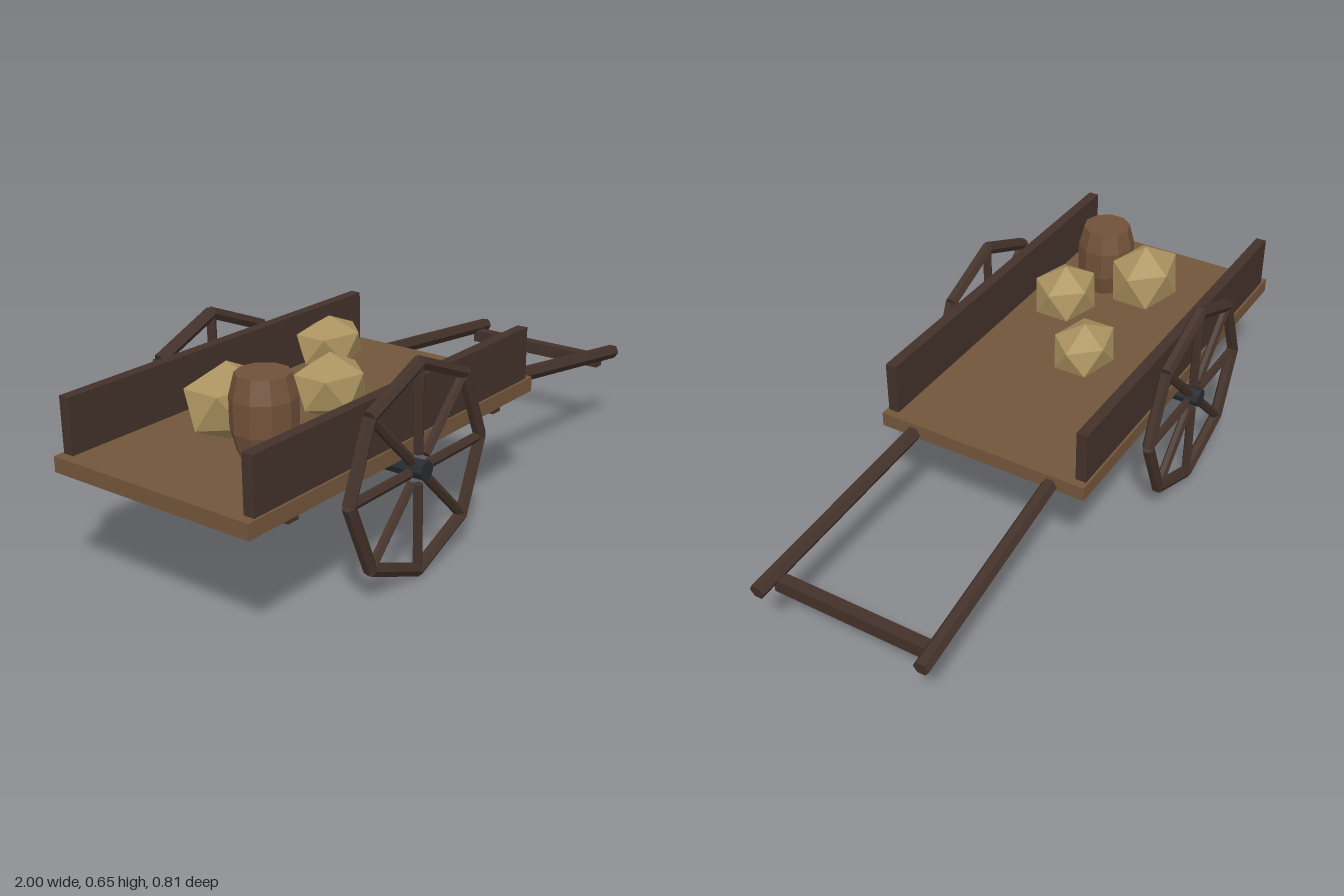
import * as THREE from 'three';

const mat = (color) => new THREE.MeshStandardMaterial({ color, flatShading: true });

export function createModel() {
  const cart = new THREE.Group();
  cart.name = 'handcart';
  const plank = mat(0x73563c), dark = mat(0x43322a), iron = mat(0x282c30);
  const barrelWood = mat(0x72523a), stone = mat(0xab9360);

  const add = (parent, name, geometry, material, x = 0, y = 0, z = 0) => {
    const mesh = new THREE.Mesh(geometry, material);
    mesh.name = name;
    mesh.position.set(x, y, z);
    parent.add(mesh);
    return mesh;
  };
  const box = (name, w, h, d, material, x, y, z) =>
    add(cart, name, new THREE.BoxGeometry(w, h, d), material, x, y, z);

  // Six-sided rod running from a to b
  const rod = (parent, name, a, b, radius, material, sides = 6) => {
    const dir = b.clone().sub(a);
    const mesh = add(parent, name, new THREE.CylinderGeometry(radius, radius, dir.length(), sides), material);
    mesh.position.copy(a).add(b).multiplyScalar(0.5);
    mesh.quaternion.setFromUnitVectors(new THREE.Vector3(0, 1, 0), dir.normalize());
    return mesh;
  };
  const v = (x, y, z) => new THREE.Vector3(x, y, z);

  // Bed, cross battens and side boards
  box('bed', 1.3, 0.046, 0.69, plank, -0.35, 0.377, 0);
  for (const x of [-0.82, 0.125]) box('batten', 0.04, 0.022, 0.66, dark, x, 0.343, 0);
  for (const s of [-1, 1]) box('sideBoard', 1.245, 0.165, 0.034, dark, -0.348, 0.482, s * 0.321);

  // Axle with its collar
  const axleX = -0.35, axleY = 0.325;
  rod(cart, 'axle', v(axleX, axleY, -0.407), v(axleX, axleY, 0.407), 0.029, iron, 8);
  rod(cart, 'axleCollar', v(axleX, axleY, -0.09), v(axleX, axleY, 0), 0.045, iron, 8);

  // Wheels: eight straight rim pieces and eight spokes each
  for (const s of [-1, 1]) {
    const wheel = new THREE.Group();
    wheel.name = s > 0 ? 'frontWheel' : 'backWheel';
    wheel.position.set(axleX, axleY, s * 0.378);
    const polar = (r, i) => v(r * Math.sin(i * Math.PI / 4), r * Math.cos(i * Math.PI / 4), 0);
    for (let i = 0; i < 8; i++) {
      rod(wheel, 'rimPiece', polar(0.308, i), polar(0.308, i + 1), 0.02, dark);
      rod(wheel, 'spoke', polar(0.045, i), polar(0.3, i), 0.015, dark);
    }
    cart.add(wheel);
  }

  // Pull handles and the bar between them
  for (const s of [-1, 1])
    rod(cart, 'handle', v(0.25, 0.372, s * 0.232), v(0.997, 0.281, s * 0.266), 0.024, dark);
  box('handleBar', 0.037, 0.042, 0.51, dark, 0.92, 0.264, 0);

  // Barrel
  const staves = [[0, -0.11], [0.076, -0.11], [0.093, -0.045], [0.093, 0.045], [0.076, 0.11], [0, 0.11]];
  add(cart, 'barrel', new THREE.LatheGeometry(staves.map(([r, y]) => new THREE.Vector2(r, y)), 10),
    barrelWood, -0.67, 0.53, 0.11);

  // Stones: icosahedra standing on a corner, stretched along the cart
  const stones = [
    [-0.398, 0.524, 0.112, 0.124, 0.097, 0.105],
    [-0.632, 0.513, -0.055, 0.146, 0.113, 0.114],
    [-0.135, 0.538, -0.102, 0.126, 0.084, 0.097],
  ];
  for (const [x, y, z, sx, sy, sz] of stones) {
    const geometry = new THREE.IcosahedronGeometry(1, 0);
    geometry.rotateZ(-Math.atan(2 / (1 + Math.sqrt(5)))).scale(sx, sy, sz);
    add(cart, 'stone', geometry, stone, x, y, z);
  }
  return cart;
}
